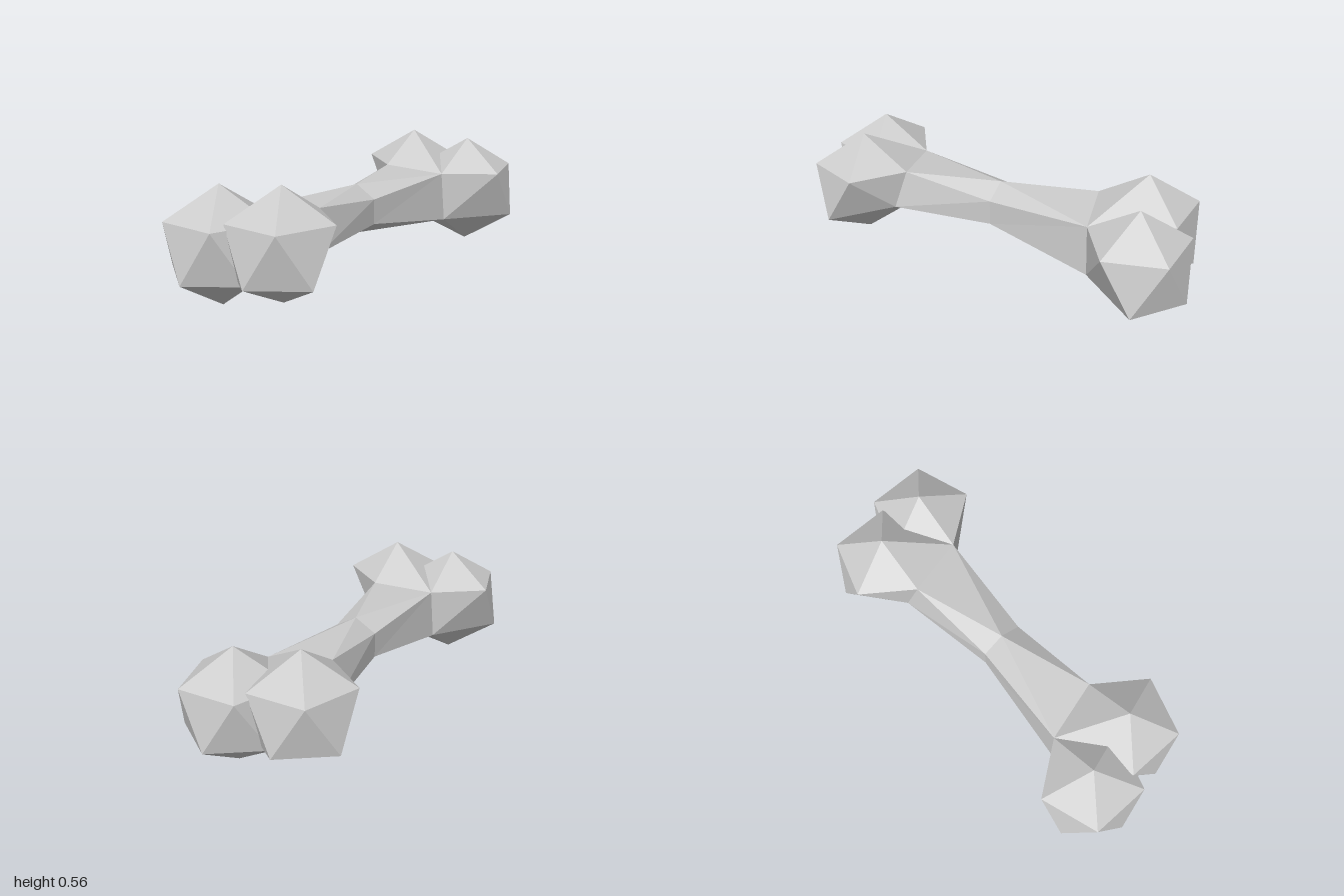
import * as THREE from 'three';

const material = new THREE.MeshStandardMaterial({ color: 0xcccccc, flatShading: true });

// Points where the shaft meets the knobs at the +x end
const A = [0.517, 0.39, 0.143];   // top front
const B = [0.4415, 0.414, -0.143]; // top back
const C = [0.53, 0.15, 0.155];    // bottom front
const D = [0.488, 0.23, -0.185];  // bottom back
const E = [0.53, 0.155, 0];       // bottom middle

function facetMesh(triangles, name) {
  const geometry = new THREE.BufferGeometry();
  geometry.setAttribute('position', new THREE.Float32BufferAttribute(triangles.flat(2), 3));
  geometry.computeVertexNormals();
  const mesh = new THREE.Mesh(geometry, material);
  mesh.name = name;
  return mesh;
}

// Twenty-sided knob; some ring corners are pulled onto the shaft's end
function knob(name, [cx, cy, cz], upperPins, lowerPins, bottomY) {
  const R = 0.27, h = R / Math.sqrt(5), r = 2 * h;
  const ring = (y, start, pins) => Array.from({ length: 5 }, (_, k) => {
    const a = Math.PI + start + (k * Math.PI * 2) / 5;
    return pins[k] || [cx + r * Math.cos(a), y, cz + r * Math.sin(a)];
  });
  const up = ring(cy + h, 0, upperPins);
  const low = ring(cy - h, Math.PI / 5, lowerPins);
  const top = [cx, cy + R, cz], bottom = [cx, bottomY, cz];
  const tris = [];
  for (let k = 0; k < 5; k++) {
    const n = (k + 1) % 5;
    tris.push([top, up[n], up[k]], [up[k], up[n], low[k]],
      [up[n], low[n], low[k]], [low[k], low[n], bottom]);
  }
  return facetMesh(tris, name);
}

// Half of the shaft: hexagon at the middle, five corners at the end
function halfShaft() {
  const [T, Fu, Fl, Bt, Bl, Bu] = Array.from({ length: 6 }, (_, i) => {
    const a = (i * Math.PI) / 3;
    return [0, 0.295 + 0.12 * Math.cos(a), 0.12 * Math.sin(a)];
  });
  return facetMesh([
    [T, A, B], [Fu, A, T], [T, B, Bu], [Bu, B, D], [Bu, D, Bl], [Bl, D, E],
    [Bl, E, Bt], [Bt, E, C], [Bt, C, Fl], [Fl, C, A], [Fl, A, Fu],
  ], 'shaftHalf');
}

export function createModel() {
  const model = new THREE.Group();
  model.name = 'bone';
  // The two ends are the same, turned half a circle
  for (const [name, turn] of [['leftEnd', 0], ['rightEnd', Math.PI]]) {
    const end = new THREE.Group();
    end.name = name;
    end.add(
      halfShaft(),
      knob('largeKnob', [0.7585, 0.27, 0.143], { 0: A }, { 0: E, 4: C }, 0),
      knob('innerKnob', [0.683, 0.293, -0.143], { 0: B, 4: A }, { 0: D, 4: E }, 0.052),
    );
    end.rotation.y = turn;
    model.add(end);
  }
  return model;
}
